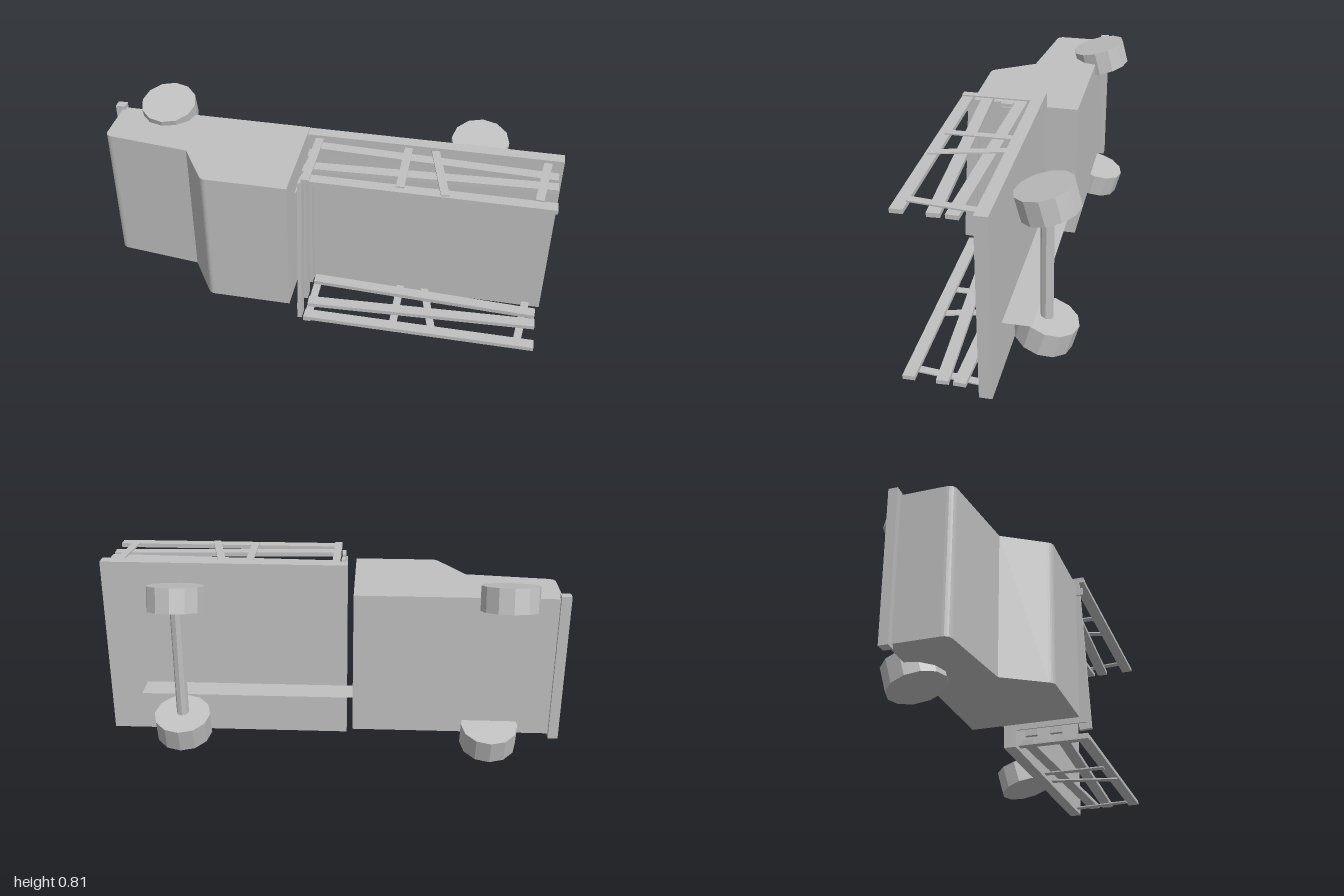
import * as THREE from 'three';

const V = (x, y, z) => new THREE.Vector3(x, y, z);

export function createModel() {
  const model = new THREE.Group();
  model.name = 'truckOnItsSide';
  const grey = new THREE.MeshStandardMaterial({ color: 0xc0c0c0, flatShading: true });
  grey.name = 'plain grey';
  const greySheet = grey.clone();
  greySheet.side = THREE.DoubleSide;

  const add = (name, geometry, parent = model, material = grey) => {
    const mesh = new THREE.Mesh(geometry, material);
    mesh.name = name;
    parent.add(mesh);
    return mesh;
  };
  // box given by its extents
  const box = (name, x0, x1, y0, y1, z0, z1) =>
    add(name, new THREE.BoxGeometry(x1 - x0, y1 - y0, z1 - z0))
      .position.set((x0 + x1) / 2, (y0 + y1) / 2, (z0 + z1) / 2);

  // cab: side profile in x and z, extruded across the width (y)
  const profile = new THREE.Shape();
  profile.moveTo(-0.1, -0.185);
  profile.lineTo(-0.1, 0.29);
  profile.lineTo(-0.445, 0.29);
  profile.quadraticCurveTo(-0.465, 0.29, -0.477, 0.27);
  profile.lineTo(-0.585, 0.1);
  profile.lineTo(-0.94, 0.058);
  profile.quadraticCurveTo(-0.97, 0.053, -0.97, 0.025);
  profile.lineTo(-0.97, -0.185);
  const cab = add('cab', new THREE.ExtrudeGeometry(profile,
    { depth: 0.632, bevelEnabled: false, curveSegments: 5 }));
  cab.rotation.x = Math.PI / 2;
  cab.position.y = 0.72;

  box('bumper', -1, -0.957, 0.073, 0.737, -0.202, -0.163);
  box('cargoBed', -0.07, 1, 0, 0.805, -0.053, 0);

  // thin chassis rail under the bed
  const rail = add('chassisRail', new THREE.PlaneGeometry(0.93, 0.118), model, greySheet);
  rail.rotation.x = -Math.PI / 2;
  rail.position.set(0.367, 0.235, -0.112);

  // rear axle
  add('rearAxle', new THREE.CylinderGeometry(0.027, 0.027, 0.5, 8))
    .position.set(0.65, 0.402, -0.195);

  // wheels lean outwards towards the top of the truck
  const tilt = THREE.MathUtils.degToRad(15);
  const wheelGeometry = new THREE.CylinderGeometry(0.123, 0.123, 0.107, 12);
  for (const [name, x, y, side] of [
    ['rearWheelA', 0.65, 0.698, 1], ['rearWheelB', 0.65, 0.106, -1],
    ['frontWheelA', -0.75, 0.723, 1], ['frontWheelB', -0.697, 0.086, -1],
  ]) {
    const wheel = add(name, wheelGeometry);
    wheel.position.set(x, y, -0.195);
    wheel.rotation.x = side * tilt;
  }

  // board lying in a fence panel: centre line from (u0,v0) to (u1,v1)
  const board = (panel, name, [u0, v0, u1, v1], width, depth, w) => {
    const mesh = add(name, new THREE.BoxGeometry(Math.hypot(u1 - u0, v1 - v0), width, depth), panel);
    mesh.position.set((u0 + u1) / 2, (v0 + v1) / 2, w);
    mesh.rotation.z = Math.atan2(v1 - v0, u1 - u0);
  };
  // panel: slats on the inside, thin posts on the outside
  const fence = (name, slats, posts, axes, origin, outward, width) => {
    const panel = new THREE.Group();
    panel.name = name;
    panel.applyMatrix4(new THREE.Matrix4().makeBasis(...axes).setPosition(...origin));
    model.add(panel);
    for (const s of slats) board(panel, 'slat', s, width, 0.018, 0);
    for (const p of posts) board(panel, 'post', p, 0.034, 0.006, outward * 0.012);
  };

  const sideSlats = [
    [-0.034, 0.042, 0.98, 0.081], [-0.034, 0.197, 0.98, 0.149], [-0.034, 0.284, 0.98, 0.284],
  ];
  const sidePosts = [
    [-0.018, 0, -0.018, 0.309], [0.362, 0, 0.362, 0.28],
    [0.474, 0, 0.544, 0.3], [0.936, 0, 0.908, 0.262],
  ];
  const flat = [V(1, 0, 0), V(0, 0, 1), V(0, -1, 0)];
  fence('upperSideFence', sideSlats, sidePosts, flat, [0, 0.777, 0], -1, 0.05);
  fence('lowerSideFence', sideSlats, sidePosts, flat, [0, 0.031, 0], 1, 0.05);

  // fence behind the cab
  fence('cabFence',
    [[0.05, 0.303, 0.757, 0.266], [0.05, 0.174, 0.757, 0.174], [0.05, 0.064, 0.757, 0.064]],
    [[0.707, 0, 0.707, 0.31], [0.096, 0, 0.096, 0.31], [0.363, 0.004, 0.431, 0.256]],
    [V(0, 1, 0), V(0, 0, 1), V(1, 0, 0)], [-0.045, 0, 0], -1, 0.052);

  return model;
}
